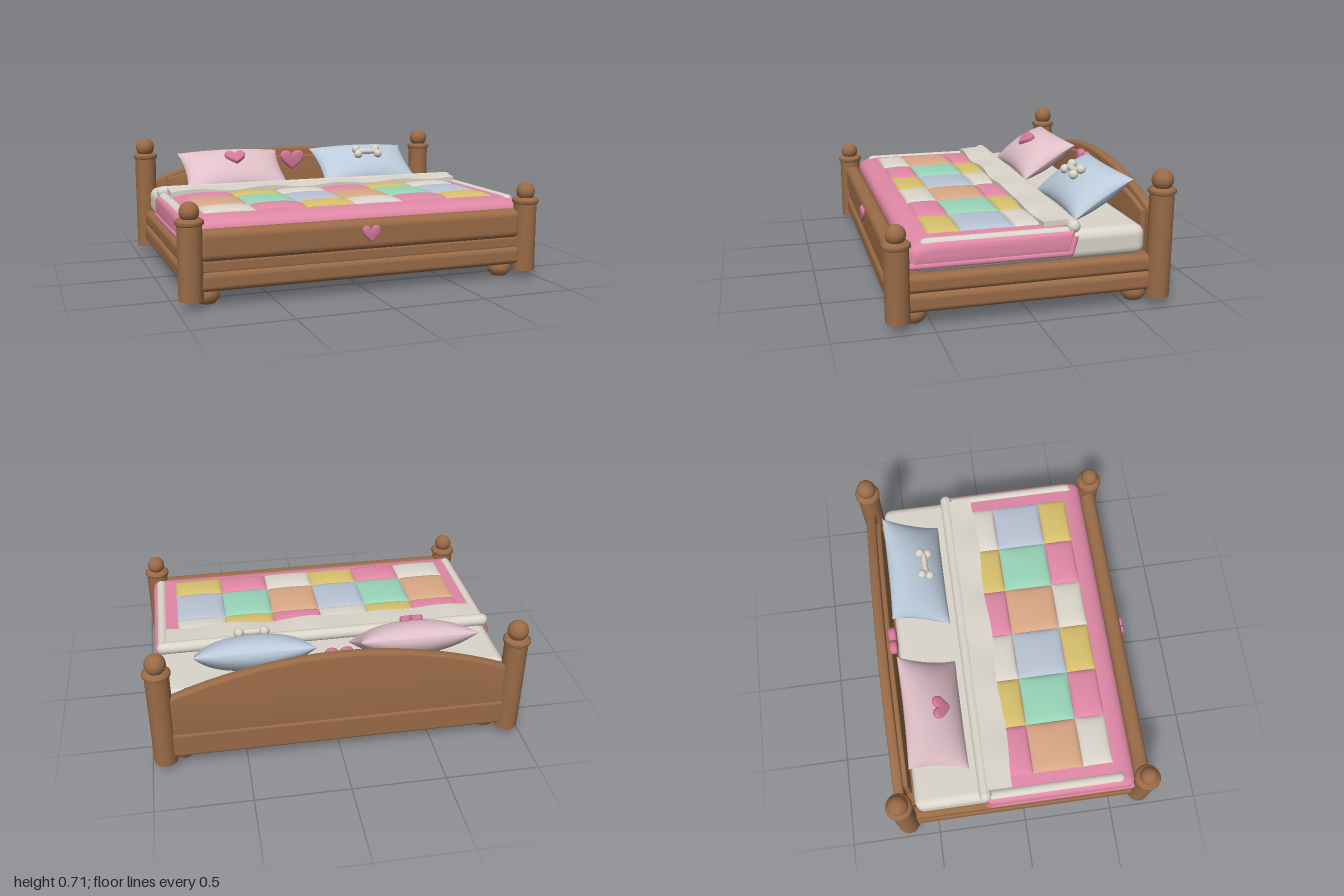
import * as THREE from 'three';
import { mergeGeometries, toCreasedNormals } from 'three/addons/utils/BufferGeometryUtils.js';
import { RoundedBoxGeometry } from 'three/addons/geometries/RoundedBoxGeometry.js';

const material = (name, color) => {
  const m = new THREE.MeshStandardMaterial({ color });
  m.name = name;
  return m;
};

// Extruded shape centred in depth, with a rounded edge that keeps the outline size
function slab(shape, depth, bevel, segments = 3) {
  const g = new THREE.ExtrudeGeometry(shape, {
    depth: depth - 2 * bevel, bevelEnabled: true, bevelSize: bevel, bevelThickness: bevel,
    bevelOffset: -bevel, bevelSegments: segments, curveSegments: 20,
  });
  g.translate(0, 0, bevel - depth / 2);
  return toCreasedNormals(g, 0.7);
}

// Arched board outline
function archShape(halfWidth, bottom, shoulder, top) {
  const s = new THREE.Shape();
  s.moveTo(-halfWidth, bottom);
  s.lineTo(halfWidth, bottom);
  s.lineTo(halfWidth, shoulder);
  s.quadraticCurveTo(0, 2 * top - shoulder, -halfWidth, shoulder);
  s.closePath();
  return s;
}

// Heart of a given width and height, centred on the origin
function heartGeometry(w, h, depth) {
  const s = new THREE.Shape();
  const x = w / 2, y = h / 2;
  s.moveTo(0, -y);
  s.bezierCurveTo(x * 0.4, -y * 0.6, x, -y * 0.1, x, y * 0.45);
  s.bezierCurveTo(x, y * 1.15, x * 0.2, y * 1.25, 0, y * 0.55);
  s.bezierCurveTo(-x * 0.2, y * 1.25, -x, y * 1.15, -x, y * 0.45);
  s.bezierCurveTo(-x, -y * 0.1, -x * 0.4, -y * 0.6, 0, -y);
  return slab(s, depth, depth * 0.35);
}

// Upper half of a cushion: domed sheet with pulled-in sides
function dome(w, d, h, pinch, power, steps) {
  const g = new THREE.PlaneGeometry(2, 2, steps, steps).rotateX(-Math.PI / 2);
  const p = g.attributes.position;
  for (let i = 0; i < p.count; i++) {
    const u = Math.sin(p.getX(i) * Math.PI / 2), v = Math.sin(p.getZ(i) * Math.PI / 2);
    const a = Math.max(0, 1 - u * u), b = Math.max(0, 1 - v * v);
    p.setXYZ(i, w / 2 * u * (1 - pinch * b), h * Math.pow(a * b, power), d / 2 * v * (1 - pinch * a));
  }
  g.computeVertexNormals();
  return g;
}

export function createModel() {
  const wood = material('wood', 0x9a6b47);
  const pink = material('blanket pink', 0xe088a6);
  const rose = material('heart rose', 0xd4779a);
  const palePink = material('pale pink', 0xe0c0c8);
  const paleBlue = material('pale blue', 0xbccbdb);
  const cream = material('cream', 0xdbd5ca);
  const yellow = material('yellow', 0xd6bf6c);
  const mint = material('mint', 0x98d4b8);
  const peach = material('peach', 0xdaa886);
  const greyBlue = material('grey blue', 0xb8c2d2);

  const model = new THREE.Group();
  model.name = 'bed';
  const add = (name, geometry, mat, x = 0, y = 0, z = 0, parent = model) => {
    const mesh = new THREE.Mesh(geometry, mat);
    mesh.name = name;
    mesh.position.set(x, y, z);
    parent.add(mesh);
    return mesh;
  };
  const block = (name, x0, x1, y0, y1, z0, z1, r, mat) => add(name,
    new RoundedBoxGeometry(x1 - x0, y1 - y0, z1 - z0, 4, r), mat,
    (x0 + x1) / 2, (y0 + y1) / 2, (z0 + z1) / 2);

  // Corner posts with collar and ball, and round feet
  const foot = new THREE.LatheGeometry([[0, 0], [0.042, 0], [0.06, 0.02], [0.066, 0.045], [0.058, 0.07],
    [0.04, 0.09], [0, 0.09]].map(([x, y]) => new THREE.Vector2(x, y)), 14);
  for (const sx of [-1, 1]) {
    for (const [name, z, top, ball] of [['foot', 0.672, 0.425, 0.05], ['head', -0.668, 0.595, 0.055]]) {
      const x = sx * 0.927;
      add(name + 'Post', toCreasedNormals(new THREE.CylinderGeometry(0.062, 0.062, top - 0.045, 16), 0.7),
        wood, x, (top + 0.045) / 2, z);
      add(name + 'PostCollar', new RoundedBoxGeometry(0.01, 0.01, 0.01, 1, 0.002), wood, x, top, z).geometry =
        toCreasedNormals(new THREE.LatheGeometry([[0, -0.012], [0.064, -0.012], [0.072, -0.004], [0.072, 0.008],
          [0.058, 0.02], [0, 0.02]].map(([a, b]) => new THREE.Vector2(a, b)), 16), 0.9);
      add(name + 'PostBall', new THREE.SphereGeometry(ball, 16, 12), wood, x, top + ball + 0.003, z);
      add('foot', foot, wood, sx * 0.83, 0, Math.sign(z) * 0.58);
    }
    // Side rails
    block('lowerSideRail', sx * 0.91 - 0.04, sx * 0.91 + 0.04, 0.08, 0.18, -0.64, 0.66, 0.03, wood);
    block('upperSideRail', sx * 0.905 - 0.04, sx * 0.905 + 0.04, 0.175, 0.268, -0.64, 0.66, 0.03, wood);
  }
  add('base', new THREE.BoxGeometry(1.84, 0.16, 1.34), wood, 0, 0.163, 0);

  // Footboard
  block('footboardPanel', -0.89, 0.89, 0.225, 0.385, 0.615, 0.705, 0.04, wood);
  block('footboardMiddle', -0.89, 0.89, 0.165, 0.24, 0.62, 0.69, 0.02, wood);
  block('footboardRail', -0.89, 0.89, 0.08, 0.18, 0.615, 0.705, 0.03, wood);
  add('footboardHeart', heartGeometry(0.1, 0.085, 0.03), rose, 0, 0.313, 0.706);

  // Headboard
  add('headboard', slab(archShape(0.88, 0.1, 0.45, 0.625), 0.055, 0.015), wood, 0, 0, -0.674);
  add('headboardPanel', slab(archShape(0.8, 0.2, 0.46, 0.575), 0.03, 0.008), wood, 0, 0, -0.635);
  block('headboardRail', -0.89, 0.89, 0.08, 0.23, -0.708, -0.61, 0.02, wood);
  add('headboardHeart', heartGeometry(0.155, 0.12, 0.045), rose, 0, 0.545, -0.61);

  // Mattress
  block('mattress', -0.92, 0.92, 0.262, 0.418, -0.6, 0.585, 0.05, cream);

  // Blanket: side profile swept across the bed
  const side = new THREE.Shape();
  side.moveTo(-0.215, 0.3);
  side.lineTo(0.612, 0.3);
  side.lineTo(0.612, 0.365);
  side.bezierCurveTo(0.612, 0.405, 0.57, 0.43, 0.48, 0.431);
  side.lineTo(-0.215, 0.431);
  side.closePath();
  add('blanket', slab(side, 1.9, 0.045, 5).rotateY(-Math.PI / 2), pink);

  // Rolled blanket hem and pale side piping
  const hem = new THREE.CurvePath();
  const corners = [[-0.93, 0.4, -0.215], [-0.936, 0.315, -0.19], [-0.936, 0.315, 0.6],
    [0.936, 0.315, 0.6], [0.936, 0.315, -0.19], [0.93, 0.4, -0.215]].map(c => new THREE.Vector3(...c));
  for (let i = 1; i < corners.length; i++) {
    hem.add(new THREE.LineCurve3(corners[i - 1], corners[i]));
    if (i < corners.length - 1) add('hemCorner', new THREE.SphereGeometry(0.018, 8, 6), pink, ...corners[i]);
  }
  for (const c of hem.curves) add('blanketHem', new THREE.TubeGeometry(c, 1, 0.018, 8), pink);
  for (const sx of [-1, 1]) {
    add('blanketPiping', new THREE.CapsuleGeometry(0.03, 0.7, 4, 12).rotateX(Math.PI / 2), cream,
      sx * 0.901, 0.411, 0.175);
  }

  // Quilt patches
  const rows = [
    [-0.08, 0.06, [pink, yellow, cream]],
    [0.06, 0.335, [peach, mint, greyBlue]],
    [0.335, 0.5, [cream, pink, yellow]],
  ];
  for (const [z0, z1, colours] of rows) {
    const patch = dome(0.274, z1 - z0, 0.023, 0.01, 0.35, 10);
    for (let i = 0; i < 6; i++) {
      add('quiltPatch', patch, colours[i % 3], -0.683 + i * 0.272, 0.433, (z0 + z1) / 2);
    }
  }

  // Turned-down sheet with a wavy edge, and its roll
  const fold = new THREE.BoxGeometry(1.76, 0.026, 0.17, 48, 1, 5);
  const p = fold.attributes.position;
  for (let i = 0; i < p.count; i++) {
    const x = p.getX(i), t = p.getZ(i) / 0.17 + 0.5;
    p.setY(i, p.getY(i) + t * 0.007 * Math.sin(x * 15) - t * t * 0.006);
    p.setZ(i, p.getZ(i) + t * 0.007 * Math.cos(x * 11));
  }
  fold.computeVertexNormals();
  add('sheetFold', fold, cream, 0, 0.456, -0.145);
  add('sheetRoll', new THREE.CapsuleGeometry(0.034, 1.8, 5, 14).rotateZ(Math.PI / 2), cream, 0, 0.44, -0.215);

  // Pillows, leaning on the headboard
  const half = dome(0.63, 0.37, 0.095, 0.07, 0.5, 18);
  const pillowGeometry = mergeGeometries([half, half.clone().rotateX(Math.PI)]);
  for (const [name, sx, mat] of [['rightPillow', -1, palePink], ['leftPillow', 1, paleBlue]]) {
    const pillow = new THREE.Group();
    pillow.name = name;
    pillow.position.set(sx * 0.428, 0.515, -0.44);
    pillow.rotation.x = 0.56;
    model.add(pillow);
    add('pillowCushion', pillowGeometry, mat, 0, 0, 0, pillow);
    if (sx < 0) {
      add('pillowHeart', heartGeometry(0.125, 0.1, 0.035).rotateX(-Math.PI / 2), rose, 0, 0.102, 0, pillow);
    } else {
      add('boneShaft', new THREE.CylinderGeometry(0.017, 0.017, 0.13, 10).rotateZ(Math.PI / 2), cream, 0, 0.108, 0, pillow);
      for (const x of [-0.067, 0.067]) for (const z of [-0.025, 0.025]) {
        add('boneKnob', new THREE.SphereGeometry(0.026, 12, 8), cream, x, 0.108, z, pillow);
      }
    }
  }
  return model;
}
